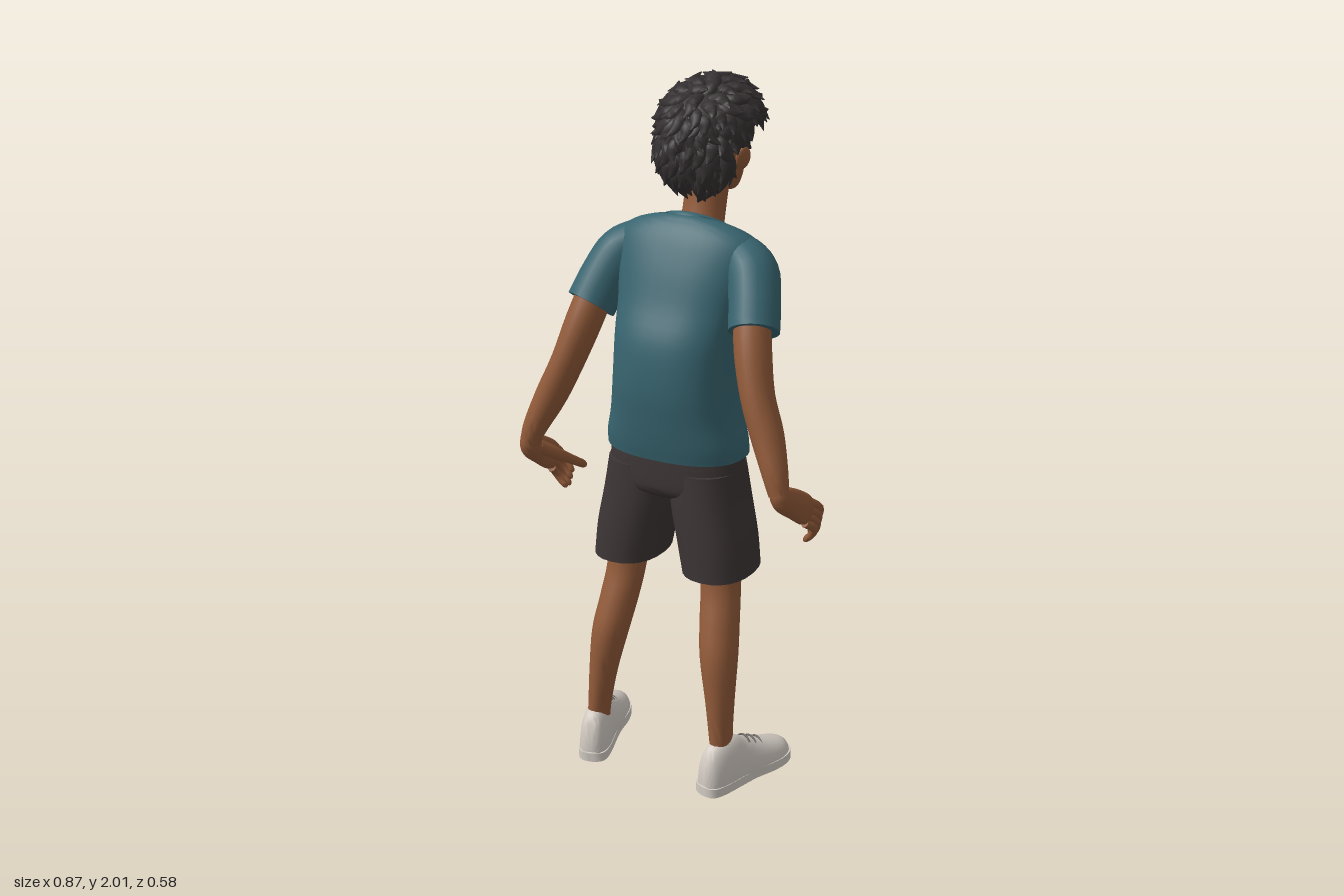
import * as THREE from 'three';
import { mergeGeometries, toCreasedNormals } from 'three/addons/utils/BufferGeometryUtils.js';

const mat = (name, color) => {
  const m = new THREE.MeshStandardMaterial({ color });
  m.name = name;
  return m;
};
const V3 = (x, y, z) => new THREE.Vector3(x, y, z);

// Skin over rings [x, y, z, halfWidth, halfDepth, slope]; level rings stay horizontal,
// otherwise they stand across the path with halfWidth along ref.
function loft(rings, { level = false, sides = 24, steps = 4, n = 2, ref = V3(1, 0, 0), floor = -9 } = {}) {
  const path = new THREE.CatmullRomCurve3(rings.map(r => V3(r[0], r[1], r[2])), false, 'catmullrom');
  const size = new THREE.CatmullRomCurve3(rings.map(r => V3(r[3], r[4], r[5] || 0)), false, 'catmullrom');
  const count = (rings.length - 1) * steps, pos = [], index = [];
  const pw = v => Math.sign(v) * Math.abs(v) ** (2 / n);
  for (let i = -1; i <= count + 1; i++) {
    const t = Math.min(Math.max(i / count, 0), 1);
    const c = path.getPoint(t), s = size.getPoint(t);
    const T = path.getTangent(t);
    if (level) T.set(0, Math.sign(T.y) || 1, 0);
    const U = ref.clone().addScaledVector(T, -ref.dot(T)).normalize();
    const W = T.clone().cross(U);
    const k = i < 0 || i > count ? 0 : 1; // closing caps
    for (let j = 0; j < sides; j++) {
      const a = j / sides * Math.PI * 2;
      const p = c.clone().addScaledVector(U, k * s.x * pw(Math.cos(a))).addScaledVector(W, k * s.y * pw(Math.sin(a)));
      p.y = Math.max(p.y + s.z * (p.z - c.z), floor);
      pos.push(p.x, p.y, p.z);
    }
  }
  for (let i = 0; i < count + 2; i++) for (let j = 0; j < sides; j++) {
    const a = i * sides + j, b = i * sides + (j + 1) % sides;
    index.push(a, b, a + sides, b, b + sides, a + sides);
  }
  const g = new THREE.BufferGeometry();
  g.setAttribute('position', new THREE.Float32BufferAttribute(pos, 3));
  g.setIndex(index);
  return toCreasedNormals(g, 1);
}

export function createModel() {
  const root = new THREE.Group();
  root.name = 'standingBoy';
  const skin = mat('skin', 0x915a39), shirt = mat('shirtTeal', 0x38646f), shorts = mat('shortsCharcoal', 0x3d3535);
  const hair = mat('hairBlack', 0x342f30), shoe = mat('shoeWhite', 0xd2cbc3), lace = mat('laceGrey', 0x6f6a66);
  const white = mat('eyeWhite', 0xd8d4d0), iris = mat('irisBlue', 0x2f4f60), lip = mat('lip', 0x7c4534);
  const add = (name, geo, m, parent = root) => {
    const mesh = new THREE.Mesh(geo, m);
    mesh.name = name;
    parent.add(mesh);
    return mesh;
  };
  const ball = (name, m, p, r, parent = root) => {
    const b = add(name, new THREE.SphereGeometry(1, 24, 16), m, parent);
    b.position.set(...p);
    b.scale.set(...r);
    return b;
  };

  // Shirt body and collar
  add('shirtBody', loft([
    [0, .985, .075, .208, .135], [0, 1.03, .08, .205, .14], [0, 1.1, .085, .187, .146], [0, 1.2, .09, .174, .15],
    [0, 1.32, .075, .174, .15], [0, 1.42, .045, .185, .133], [0, 1.5, .02, .205, .12, .1], [0, 1.565, 0, .215, .1, .25],
    [0, 1.6, -.01, .175, .078, .4], [0, 1.612, -.028, .115, .072, .5], [0, 1.605, -.035, .08, .066, .55],
  ], { level: true, sides: 40, n: 2.4 }), shirt);
  const rim = Array.from({ length: 16 }, (_, i) => {
    const a = i * Math.PI / 8, z = .073 * Math.sin(a);
    return V3(.085 * Math.cos(a), 1.602 + .55 * z, -.037 + z);
  });
  add('collar', new THREE.TubeGeometry(new THREE.CatmullRomCurve3(rim, true), 48, .013, 8, true), shirt);

  // Shorts seat
  add('shortsSeat', loft([
    [0, 1.03, .076, .19, .125], [0, .95, .08, .2, .126], [0, .89, .08, .2, .125], [0, .865, .08, .15, .1],
  ], { level: true, sides: 36, n: 2.4 }), shorts);

  // Paired limbs; s is the side
  for (const s of [1, -1]) {
    const side = s > 0 ? 'left' : 'right';
    const limb = (name, rings, m, opt) => add(side + name, loft(rings.map(([x, ...r]) => [x * s, ...r]), opt), m);
    limb('Sleeve', [
      [.15, 1.55, 0, .06, .07], [.2, 1.51, .025, .072, .085], [.232, 1.45, .07, .07, .08], [.255, 1.375, .118, .069, .077],
    ], shirt);
    limb('Arm', [
      [.24, 1.43, .1, .05, .055], [.265, 1.33, .143, .05, .058], [.298, 1.22, .178, .045, .056],
      [.34, 1.12, .2, .044, .052], [.378, 1.03, .228, .035, .04], [.396, .975, .24, .027, .03],
    ], skin);
    // Hands: palm, thumb and four curled fingers
    limb('Palm', [
      [.392, 1.0, .24, .026, .024], [.4, .962, .228, .028, .036], [.408, .925, .17, .022, .042],
      [.412, .89, .115, .021, .044], [.412, .868, .08, .014, .036],
    ], skin, { sides: 16 });
    limb('Thumb', [
      [.392, .95, .2, .018, .02], [.364, .91, .145, .017, .018], [.354, .87, .08, .013, .014],
      [.352, .838, .028, .011, .012], [.352, .828, .012, .004, .004],
    ], skin, { sides: 10 });
    for (let i = 0; i < 4; i++) {
      const y = .897 - .018 * i, z = .078 + .009 * i, l = i === 3 ? .8 : 1;
      limb('Finger' + (i + 1), [
        [.412, y, z, .012, .013], [.424, y - .03 * l, z - .04 * l, .012, .012], [.415, y - .062 * l, z - .055 * l, .011, .011],
        [.396, y - .088 * l, z - .056 * l, .009, .009], [.39, y - .095 * l, z - .054 * l, .003, .003],
      ], skin, { sides: 10, steps: 3 });
    }
    limb('ShortsLeg', [
      [.1, .95, .08, .098, .12], [.108, .85, .08, .107, .127], [.13, .74, .083, .106, .13], [.145, .643, .085, .101, .13],
    ], shorts, { level: true, n: 2.3 });
    limb('Leg', [
      [.148, .72, .1, .062, .062], [.155, .6, .108, .058, .058], [.166, .5, .135, .056, .064], [.18, .4, .165, .053, .064],
      [.195, .27, .186, .04, .052], [.205, .15, .197, .031, .044], [.212, .08, .197, .032, .045],
    ], skin, { level: true });

    // Shoe, toe along local -z
    const foot = new THREE.Group();
    foot.name = side + 'Shoe';
    foot.position.set(.24 * s, 0, .115);
    foot.rotation.y = -.3 * s;
    root.add(foot);
    add('upper', loft([
      [0, .02, .168, .024, .07], [0, .02, .15, .038, .112], [0, .02, .115, .046, .134], [0, .02, .06, .046, .136],
      [0, .02, .01, .047, .108], [0, .02, -.05, .053, .08], [0, .02, -.11, .054, .058], [0, .02, -.15, .04, .042], [0, .02, -.17, .016, .02],
    ], { sides: 28, n: 2.3, floor: .012 }), shoe, foot);
    const outline = new THREE.Shape(new THREE.SplineCurve([
      [0, -.176], [.034, -.165], [.047, -.12], [.047, 0], [.056, .07], [.054, .125], [.034, .165], [0, .178],
      [-.034, .165], [-.054, .125], [-.056, .07], [-.047, 0], [-.047, -.12], [-.034, -.165], [0, -.176],
    ].map(p => new THREE.Vector2(...p))).getPoints(56));
    const sole = new THREE.ExtrudeGeometry(outline, { depth: .028, bevelEnabled: false });
    add('sole', toCreasedNormals(sole.rotateX(-Math.PI / 2), .7), shoe, foot);
    for (let i = 0; i < 3; i++) {
      const z = .005 - i * .026, y = .128 - i * .013;
      const bow = new THREE.QuadraticBezierCurve3(V3(-.026, y - .012, z), V3(0, y + .014, z - .006), V3(.026, y - .012, z));
      add('lace' + (i + 1), new THREE.TubeGeometry(bow, 10, .003, 6), lace, foot);
    }

    // Paired face parts
    const ear = ball(side + 'Ear', skin, [.113 * s, 1.79, -.085], [.012, .036, .024]);
    ear.rotation.set(.2, -.5 * s, -.25 * s);
    ball(side + 'Eye', white, [.041 * s, 1.795, -.2], [.02, .011, .009]);
    ball(side + 'Iris', iris, [.041 * s, 1.795, -.205], [.0085, .0095, .006]);
    const brow = new THREE.QuadraticBezierCurve3(V3(.02 * s, 1.818, -.217), V3(.045 * s, 1.83, -.214), V3(.068 * s, 1.816, -.193));
    add(side + 'Brow', new THREE.TubeGeometry(brow, 10, .005, 6), hair);
  }

  // Neck, head and face
  add('neck', loft([[0, 1.54, -.035, .07, .06], [0, 1.64, -.075, .06, .062], [0, 1.74, -.1, .062, .065]], { level: true }), skin);
  add('head', loft([
    [0, 1.673, -.165, .018, .022, .2], [0, 1.684, -.15, .045, .05, .3], [0, 1.71, -.127, .07, .083, .3], [0, 1.75, -.11, .09, .104, .15],
    [0, 1.8, -.1, .1, .113], [0, 1.86, -.1, .105, .118], [0, 1.92, -.1, .09, .1], [0, 1.96, -.1, .05, .06],
  ], { level: true, sides: 32 }), skin);
  add('nose', loft([
    [0, 1.81, -.206, .008, .008], [0, 1.78, -.213, .01, .012], [0, 1.758, -.22, .018, .02], [0, 1.748, -.215, .015, .014],
  ], { level: true, sides: 16 }), skin);
  ball('upperLip', lip, [0, 1.723, -.206], [.026, .006, .01]);
  ball('lowerLip', lip, [0, 1.714, -.204], [.021, .007, .01]);

  // Hair: two base masses covered in curling locks
  const masses = [
    { c: V3(0, 1.885, -.105), r: V3(.125, .1, .158), tilt: .2, count: 170 },
    { c: V3(0, 1.81, -.025), r: V3(.108, .11, .078), tilt: 0, count: 110 },
  ];
  let seed = 7;
  const rnd = () => (seed = seed * 16807 % 2147483647) / 2147483647;
  const locks = [];
  masses.forEach(({ c, r, tilt, count }, m) => {
    ball(m ? 'hairNape' : 'hairCrown', hair, c.toArray(), r.toArray()).rotation.x = tilt;
    for (let i = 0; i < count; i++) {
      const y = 1 - 2 * (i + .5) / count, a = i * 2.39996, q = Math.sqrt(1 - y * y);
      const u = V3(q * Math.cos(a), y, q * Math.sin(a)), X = V3(1, 0, 0);
      const p = u.clone().multiply(r).applyAxisAngle(X, tilt).add(c);
      const n = u.clone().divide(r).normalize().applyAxisAngle(X, tilt);
      const w = rnd() > .5 ? 1 : -1, len = .8 + .4 * rnd();
      if (m ? p.z < -.045 || n.y < -.8 : (p.z < -.1 && n.y < -.05) || n.y < -.4) continue;
      const d = V3(.15 * w, -1, m ? 0 : -.5);
      d.addScaledVector(n, -d.dot(n)).normalize();
      const e = n.clone().cross(d);
      const ring = (along, across, out, ra, rb) => [...p.clone().addScaledVector(d, along * len)
        .addScaledVector(e, across * w).addScaledVector(n, out).toArray(), ra, rb];
      locks.push(loft([
        ring(-.02, 0, -.008, .006, .01), ring(.008, .008, .003, .011, .019),
        ring(.034, .002, .005, .009, .014), ring(.054, -.014, .012, .001, .002),
      ], { sides: 7, steps: 3, ref: n }));
    }
  });
  add('hairLocks', mergeGeometries(locks), hair);

  return root;
}
